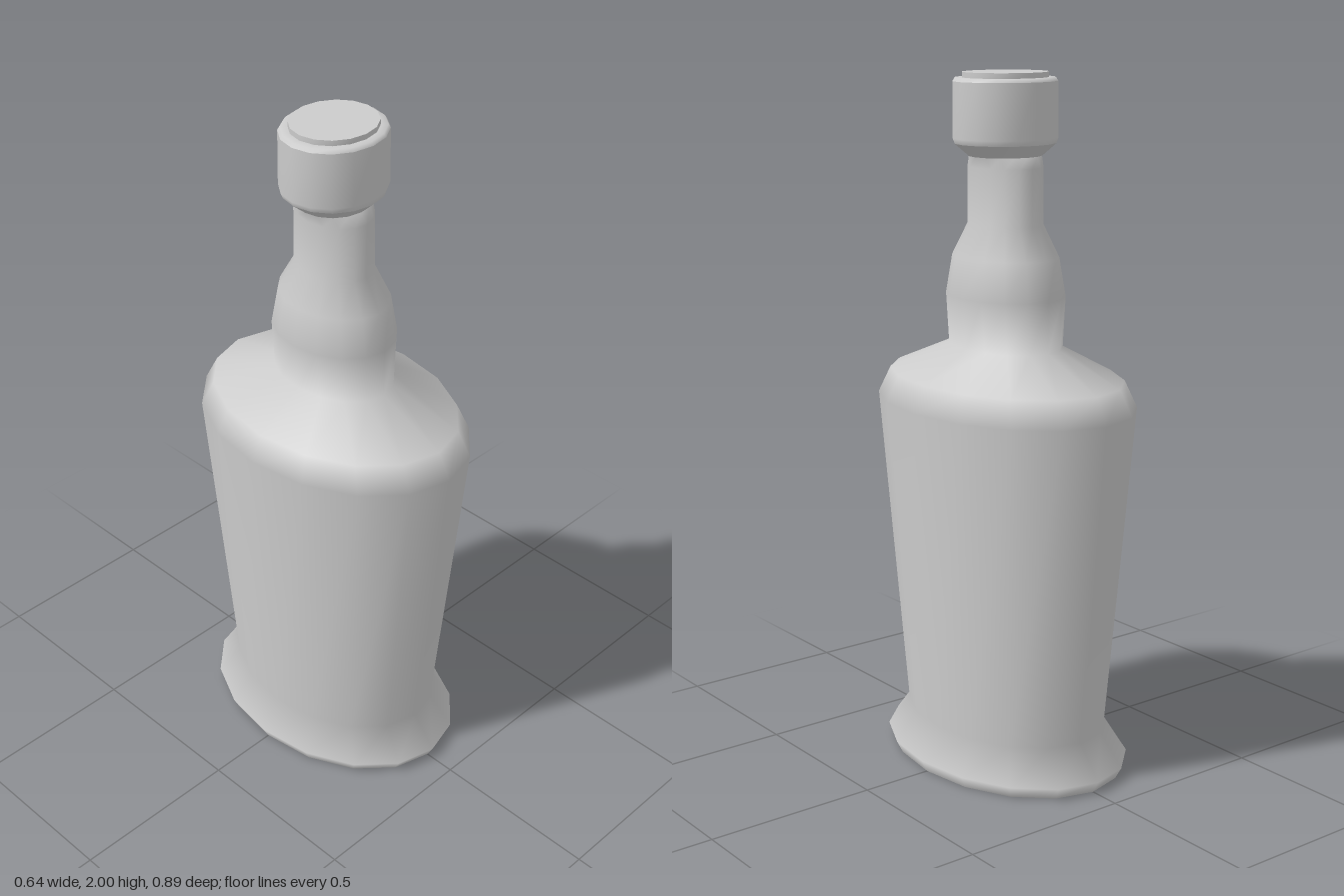
import * as THREE from 'three';

const SIDES = 16;

// Smooth skin through elliptical rings [y, rx, rz], listed bottom to top.
function loft(name, rings) {
  const pos = [], idx = [];
  for (const [y, rx, rz] of rings) {
    for (let j = 0; j < SIDES; j++) {
      const a = (j / SIDES) * Math.PI * 2;
      pos.push(rx * Math.sin(a), y, rz * Math.cos(a));
    }
  }
  for (let i = 0; i < rings.length - 1; i++) {
    for (let j = 0; j < SIDES; j++) {
      const k = (j + 1) % SIDES;
      const a = i * SIDES + j, b = i * SIDES + k;
      idx.push(a, b, b + SIDES, a, b + SIDES, a + SIDES);
    }
  }
  const geo = new THREE.BufferGeometry();
  geo.setAttribute('position', new THREE.Float32BufferAttribute(pos, 3));
  geo.setIndex(idx);
  geo.computeVertexNormals();
  const mesh = new THREE.Mesh(geo, new THREE.MeshStandardMaterial({ color: 0xcccccc }));
  mesh.name = name;
  return mesh;
}

// Flat elliptical face, facing up (dir 1) or down (dir -1).
function disc(name, [y, rx, rz], dir) {
  const geo = new THREE.CircleGeometry(1, SIDES);
  geo.rotateX(-dir * Math.PI / 2);
  geo.scale(rx, 1, rz);
  const mesh = new THREE.Mesh(geo, new THREE.MeshStandardMaterial({ color: 0xcccccc }));
  mesh.position.y = y;
  mesh.name = name;
  return mesh;
}

export function createModel() {
  const group = new THREE.Group();
  group.name = 'bottle';

  const base = [0, 0.29, 0.405];
  const collar = [1.77, 0.105, 0.1];
  const capEdge = [1.975, 0.153, 0.14];
  const capTop = [1.985, 0.146, 0.134];
  const plugFoot = [1.985, 0.125, 0.115];
  const plugTop = [2, 0.125, 0.115];

  // Flared foot, tapered oval body, shoulder, bulb and neck
  group.add(disc('base', base, -1));
  group.add(loft('glassBody', [
    base,
    [0.035, 0.307, 0.425],
    [0.13, 0.25, 0.35],
    [1.075, 0.32, 0.443],
    [1.15, 0.288, 0.403],
    [1.235, 0.14, 0.193],
    [1.38, 0.154, 0.193],
    [1.49, 0.137, 0.172],
    [1.58, 0.098, 0.121],
    [1.74, 0.096, 0.121],
    collar,
  ]));

  // Stopper: flared underside, round cap, narrow rim and raised plug
  group.add(loft('capUnderside', [collar, [1.805, 0.147, 0.138]]));
  group.add(loft('capSide', [[1.805, 0.147, 0.138], [1.82, 0.154, 0.141], capEdge]));
  group.add(loft('capRim', [capEdge, capTop, plugFoot]));
  group.add(loft('plugSide', [plugFoot, plugTop]));
  group.add(disc('plugTop', plugTop, 1));

  return group;
}
